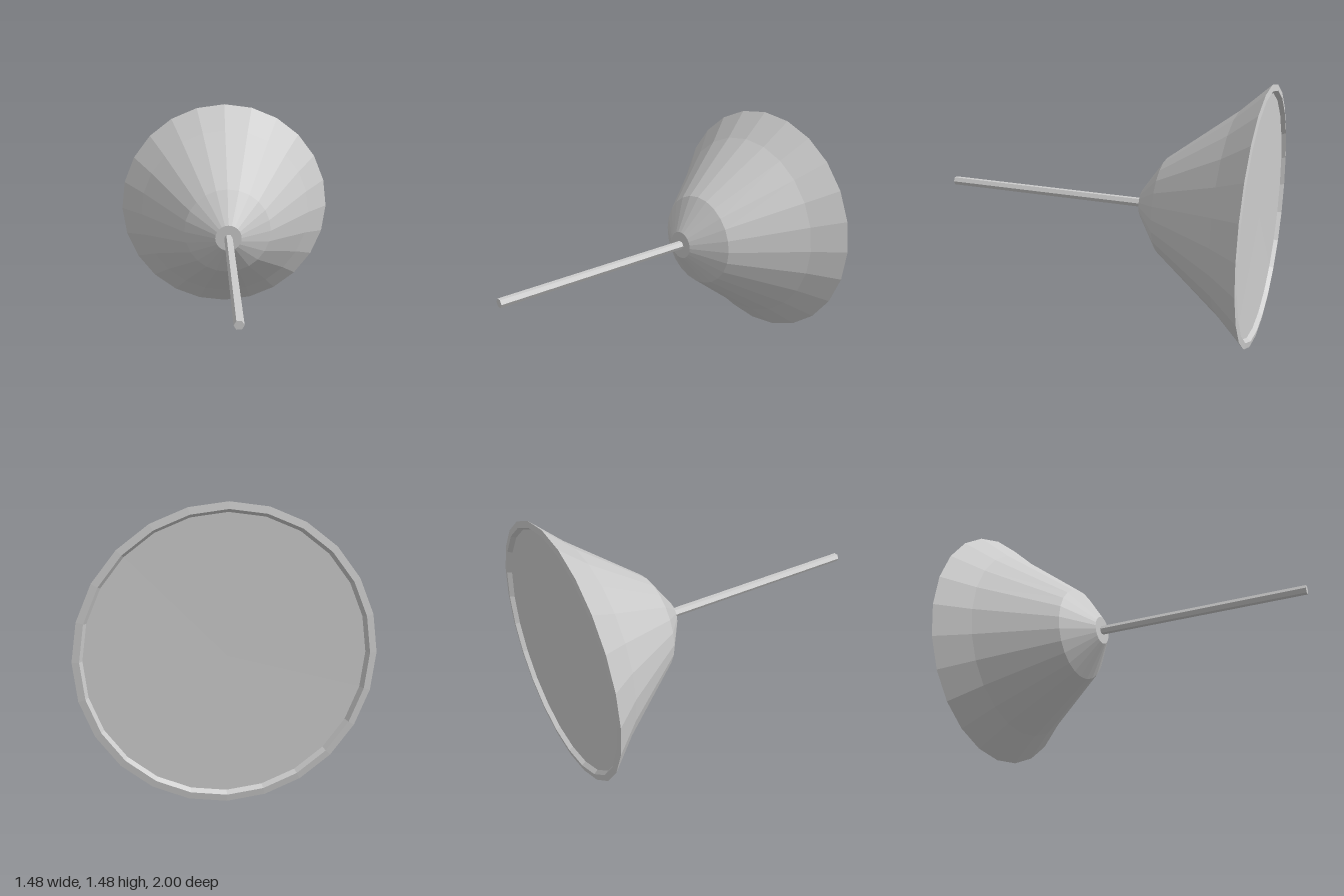
import * as THREE from 'three';

// Hard facets for every face
function faceted(geometry) {
  const g = geometry.toNonIndexed();
  g.computeVertexNormals();
  return g;
}

export function createModel() {
  const group = new THREE.Group();
  const grey = new THREE.MeshStandardMaterial({ color: 0xcccccc });
  grey.name = 'light grey';
  const radius = 0.74;

  // Cone with a recessed back disc, a rim and a flat nose: [radius, z]
  const profile = [
    [0, -0.97], [0.69, -0.975], [0.705, -1], [radius, -0.995],
    [0.59, -0.83], [0.285, -0.425], [0.085, -0.285], [0, -0.285],
  ].map(([r, z]) => new THREE.Vector2(r, z));
  const cone = new THREE.Mesh(faceted(new THREE.LatheGeometry(profile, 24)), grey);
  cone.name = 'cone';

  // Hexagonal rod reaching forward from the nose
  const rodGeometry = new THREE.CylinderGeometry(0.027, 0.027, 1.3, 6);
  rodGeometry.rotateY(Math.PI / 6);
  const rod = new THREE.Mesh(faceted(rodGeometry), grey);
  rod.name = 'rod';
  rod.position.y = 0.35;

  // Turn the lathe axis to face the front
  const axis = new THREE.Group();
  axis.name = 'coneAndRod';
  axis.add(cone, rod);
  axis.rotation.x = Math.PI / 2;
  axis.position.y = radius;
  rod.rotation.y = 0;
  group.add(axis);
  return group;
}
